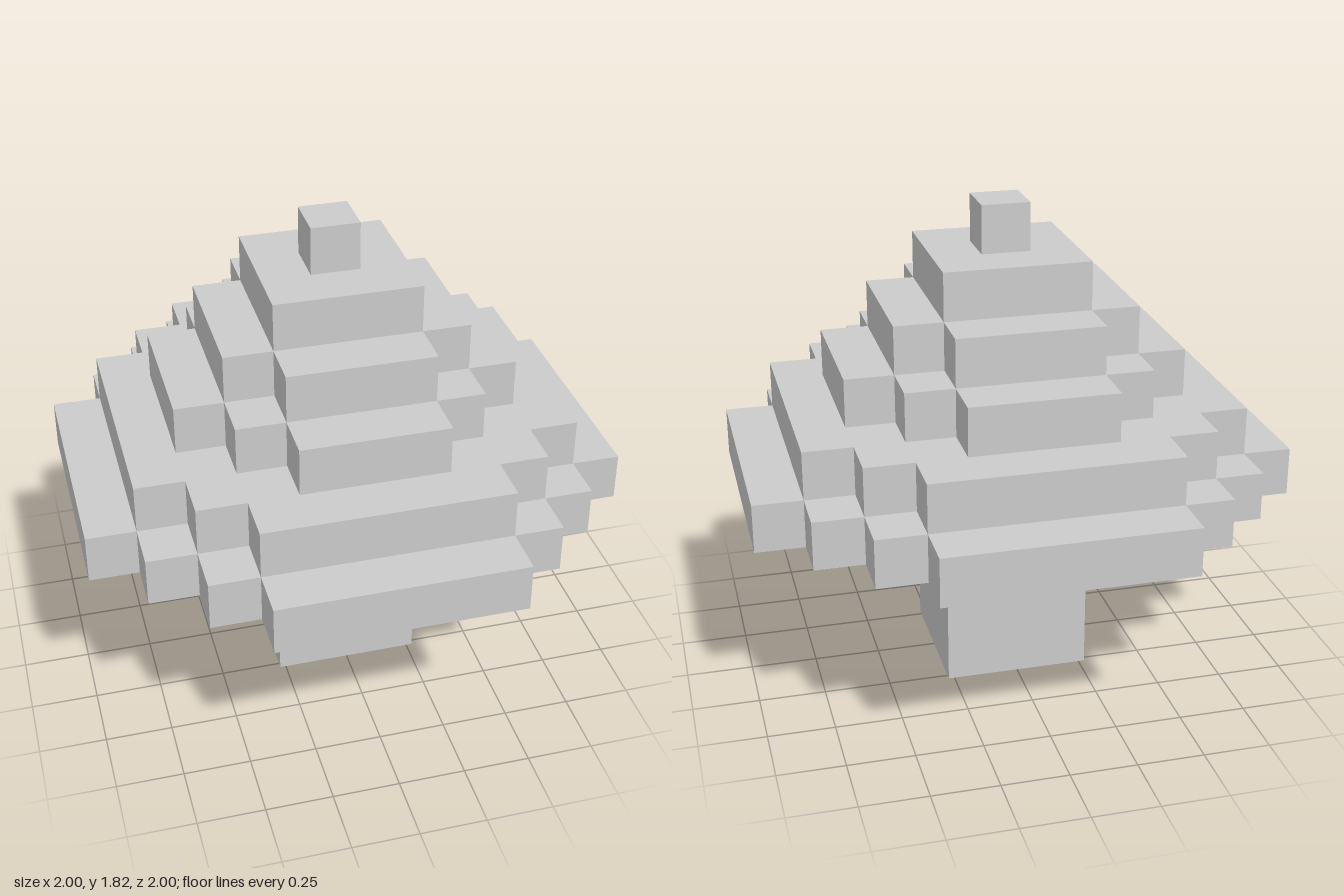
import * as THREE from 'three';

const U = 2 / 11; // edge of one block
const material = new THREE.MeshStandardMaterial({ color: 0xcccccc, flatShading: true });

// Stepped outline: one quadrant of outer corners [x, z], turned four times.
function steppedOutline(corners) {
  const quadrant = [];
  corners.forEach(([x, z], i) => {
    if (i > 0) quadrant.push([x, corners[i - 1][1]]); // inner corner of the notch
    quadrant.push([x, z]);
  });
  const points = [];
  for (let turn = 0; turn < 4; turn++) {
    for (const [x, z] of quadrant) {
      const p = new THREE.Vector2(x * U, z * U);
      points.push(p.rotateAround(new THREE.Vector2(), turn * Math.PI / 2));
    }
  }
  return new THREE.Shape(points);
}

// Flat slab, one or more blocks high, standing on the given level.
function slab(name, corners, level, height = 1) {
  const geometry = new THREE.ExtrudeGeometry(steppedOutline(corners), {
    depth: height * U,
    bevelEnabled: false,
  });
  geometry.rotateX(-Math.PI / 2);
  const mesh = new THREE.Mesh(geometry, material);
  mesh.name = name;
  mesh.position.y = level * U;
  return mesh;
}

export function createModel() {
  const tree = new THREE.Group();
  tree.name = 'blockTree';

  // Square trunk
  tree.add(slab('trunk', [[1.5, 1.5]], 0, 4));

  // Foliage tiers from the widest up to the tip
  const tiers = [
    [[5.5, 2.5], [4.5, 3.5], [3.5, 4.5], [2.5, 5.5]],
    [[4.5, 2.5], [3.5, 3.5], [2.5, 4.5]],
    [[3.5, 1.5], [2.5, 2.5], [1.5, 3.5]],
    [[2.5, 1.5], [1.5, 2.5]],
    [[1.5, 1.5]],
    [[0.5, 0.5]],
  ];
  const foliage = new THREE.Group();
  foliage.name = 'foliage';
  tiers.forEach((corners, i) => {
    const name = i === tiers.length - 1 ? 'treeTip' : `foliageTier${i + 1}`;
    foliage.add(slab(name, corners, 4 + i));
  });
  tree.add(foliage);

  return tree;
}
